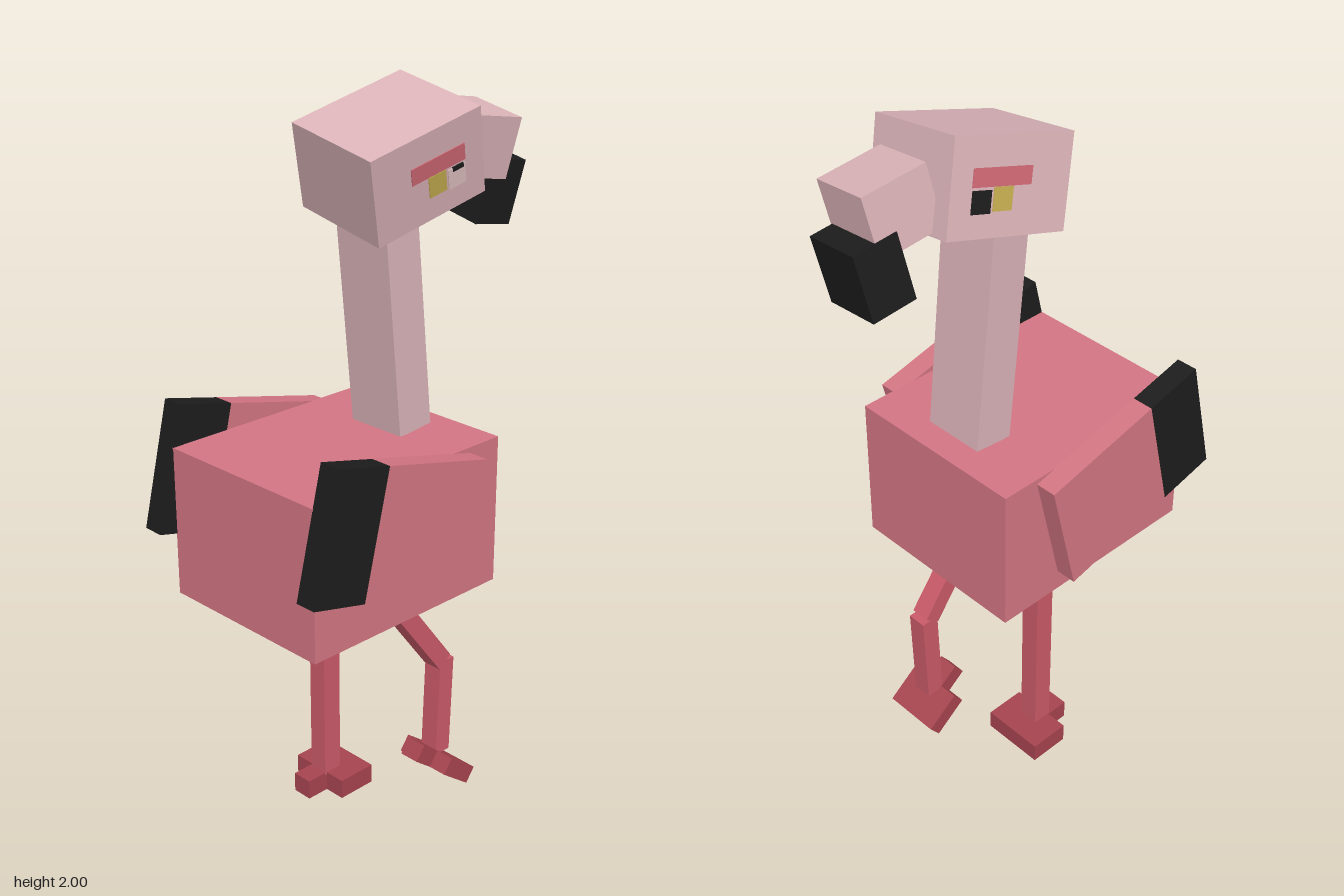
import * as THREE from 'three';

const mat = (name, color) => {
  const m = new THREE.MeshStandardMaterial({ color });
  m.name = name;
  return m;
};

export function createModel() {
  const model = new THREE.Group();
  model.name = 'wadingBird';

  const pink = mat('feather pink', 0xd27582);
  const pale = mat('pale pink', 0xd9b2b7);
  const leg = mat('leg red', 0xc95a68);
  const foot = mat('foot red', 0xa6444f);
  const black = mat('black', 0x1c1c1c);
  const stripe = mat('brow pink', 0xcf6874);
  const yellow = mat('eye yellow', 0xc4ad50);
  const light = mat('eye light', 0xe3c3c2);

  const box = (parent, name, material, size, pos, tilt = 0) => {
    const mesh = new THREE.Mesh(new THREE.BoxGeometry(...size), material);
    mesh.name = name;
    mesh.position.set(...pos);
    mesh.rotation.z = tilt;
    parent.add(mesh);
    return mesh;
  };
  const group = (name, pos, tilt = 0) => {
    const g = new THREE.Group();
    g.name = name;
    g.position.set(...pos);
    g.rotation.z = tilt;
    model.add(g);
    return g;
  };
  // Box limb stretched between two points in the xy plane
  const limb = (name, material, a, b, z, width, depth) => {
    const dx = b[0] - a[0], dy = b[1] - a[1];
    box(model, name, material, [width, Math.hypot(dx, dy), depth],
      [(a[0] + b[0]) / 2, (a[1] + b[1]) / 2, z], Math.atan2(dy, dx) + Math.PI / 2);
  };
  // Turn a group so its length runs along u and its height close to v
  const orient = (g, u, v) => {
    const x = new THREE.Vector3(...u).normalize();
    const z = x.clone().cross(new THREE.Vector3(...v)).normalize();
    const y = z.clone().cross(x);
    g.quaternion.setFromRotationMatrix(new THREE.Matrix4().makeBasis(x, y, z));
  };

  // Body and neck
  box(model, 'body', pink, [0.645, 0.41, 0.522], [-0.097, 0.905, 0]);
  limb('neck', pale, [0.1, 1.113], [0.037, 1.74], 0, 0.112, 0.175);

  // Wings with dark tips
  for (const side of [1, -1]) {
    const wing = group(side > 0 ? 'leftWing' : 'rightWing', [-0.1775, 0.99, side * 0.289], -0.2405);
    box(wing, 'wingPanel', pink, [0.355, 0.345, 0.06], [0.085, 0, 0]);
    box(wing, 'wingTip', black, [0.17, 0.345, 0.06], [-0.1775, 0, 0]);
  }

  // Turned and tilted head
  const head = group('head', [0.065, 1.816, 0.023]);
  orient(head, [0.332, 0.09, 0.035], [-0.067, 0.22, 0.034]);
  box(head, 'skull', pale, [0.346, 0.232, 0.289], [0, 0, 0]);
  for (const side of [1, -1]) {
    const z = side * 0.145;
    box(head, 'brow', stripe, [0.17, 0.043, 0.004], [0.028, 0.022, z]);
    box(head, 'eye', yellow, [0.055, 0.055, 0.004], [0.022, -0.028, z]);
    box(head, 'pupil', side > 0 ? light : black, [0.055, 0.053, 0.004], [0.084, -0.033, z]);
  }
  box(head, 'pupilEdge', black, [0.035, 0.012, 0.006], [0.088, -0.011, 0.145]);

  // Beak base and drooping tip
  const beakLength = [0.172, -0.027, 0.013], beakUp = [0.024, 0.155, 0.027];
  const beak = group('beak', [0.323, 1.831, 0.036]);
  orient(beak, beakLength, beakUp);
  box(beak, 'beakBase', pale, [0.175, 0.16, 0.176], [0, 0, 0]);
  const tip = group('beakTip', [0.395, 1.704, 0.018]);
  orient(tip, beakLength, beakUp);
  box(tip, 'beakHook', black, [0.12, 0.172, 0.173], [0, 0, 0]);

  // Standing right leg and bent left leg
  limb('rightLeg', leg, [-0.04, 0.71], [-0.04, 0.05], -0.116, 0.058, 0.057);
  limb('leftThigh', leg, [-0.043, 0.70], [0.167, 0.423], 0.12, 0.053, 0.056);
  limb('leftShin', leg, [0.175, 0.427], [0.164, 0.135], 0.12, 0.053, 0.056);

  // Feet: broad toes with a narrow heel
  const feet = [
    ['rightFoot', [-0.038, 0.0285, -0.118], 0, 0.185],
    ['leftFoot', [0.148, 0.111, 0.119], -0.65, 0.17],
  ];
  for (const [name, pos, tilt, width] of feet) {
    const g = group(name, pos, tilt);
    const height = tilt ? 0.05 : 0.057;
    box(g, 'toes', foot, [0.118, height, width], [0.034, 0, 0]);
    box(g, 'heel', foot, [0.068, height, 0.06], [-0.059, 0, 0]);
  }

  return model;
}
